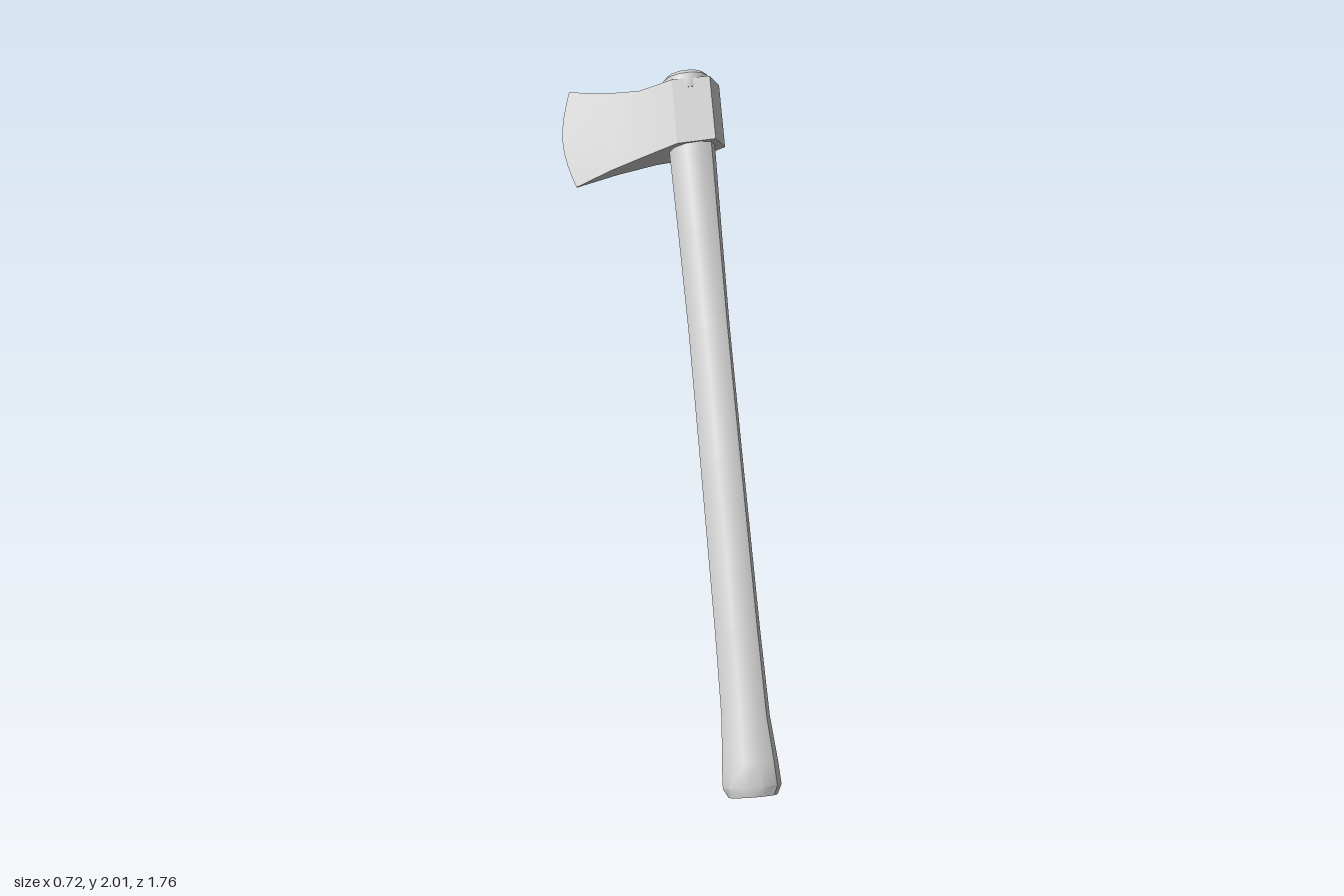
import * as THREE from 'three';
import { toCreasedNormals } from 'three/addons/utils/BufferGeometryUtils.js';

const material = new THREE.MeshStandardMaterial({ color: 0xcccccc });

// Oval loft along y; each row is [y, half depth, half thickness], from the bottom up
function ovalLoft(name, rows, sides, crease) {
  const n = rows.length - 1;
  const geometry = new THREE.CylinderGeometry(1, 1, 1, sides, n);
  const pos = geometry.attributes.position;
  for (let i = 0; i < pos.count; i++) {
    const [y, a, b] = rows[Math.round((pos.getY(i) + 0.5) * n)];
    pos.setXYZ(i, pos.getX(i) * a, y, pos.getZ(i) * b);
  }
  const mesh = new THREE.Mesh(toCreasedNormals(geometry, crease), material);
  mesh.name = name;
  return mesh;
}

// Axe head: stations from poll to cutting edge, [x, half thickness, bottom, top]
function axeHead() {
  const stations = [
    [-0.1, 0.048, -0.105, 0.122],
    [0.025, 0.088, -0.108, 0.122],
    [0.16, 0.052, -0.115, 0.125],
    [0.3, 0.028, -0.13, 0.155],
    [0.447, 0.002, -0.154, 0.203],
  ];
  const rows = 8, last = stations.length - 1, vertices = [];
  const point = (i, j, side) => {
    const [x, half, low, high] = stations[i];
    const t = j / rows;
    // the cutting edge bows outward
    const bow = i === last ? 0.04 * Math.sin(Math.PI * t) : 0;
    return [x + bow, low + (high - low) * t, side * half];
  };
  const quad = (a, b, c, d) => vertices.push(...a, ...b, ...c, ...a, ...c, ...d);

  for (let i = 0; i < last; i++) {
    // cheeks
    for (let j = 0; j < rows; j++) {
      quad(point(i, j, 1), point(i + 1, j, 1), point(i + 1, j + 1, 1), point(i, j + 1, 1));
      quad(point(i, j + 1, -1), point(i + 1, j + 1, -1), point(i + 1, j, -1), point(i, j, -1));
    }
    // top and bottom
    quad(point(i, rows, 1), point(i + 1, rows, 1), point(i + 1, rows, -1), point(i, rows, -1));
    quad(point(i, 0, -1), point(i + 1, 0, -1), point(i + 1, 0, 1), point(i, 0, 1));
  }
  // poll face and thin cutting edge
  for (let j = 0; j < rows; j++) {
    quad(point(0, j, -1), point(0, j, 1), point(0, j + 1, 1), point(0, j + 1, -1));
    quad(point(last, j, 1), point(last, j, -1), point(last, j + 1, -1), point(last, j + 1, 1));
  }
  const geometry = new THREE.BufferGeometry();
  geometry.setAttribute('position', new THREE.Float32BufferAttribute(vertices, 3));
  const mesh = new THREE.Mesh(toCreasedNormals(geometry, 0.3), material);
  mesh.name = 'axeHead';
  mesh.position.z = 0.012;
  return mesh;
}

export function createModel() {
  const axe = new THREE.Group();
  axe.name = 'axe';

  // handle with flared, rounded-off butt
  axe.add(ovalLoft('handle', [
    [-2.275, 0.08, 0.058],
    [-2.245, 0.096, 0.072],
    [-2.17, 0.092, 0.068],
    [-2.03, 0.08, 0.054],
    [-1.75, 0.076, 0.046],
    [-1.2, 0.074, 0.04],
    [-0.75, 0.073, 0.038],
    [-0.4, 0.077, 0.048],
    [-0.14, 0.081, 0.058],
    [0.1, 0.081, 0.06],
  ], 10, 0.7));

  // handle end showing above the head
  axe.add(ovalLoft('handleEnd', [
    [0.09, 0.081, 0.066],
    [0.142, 0.081, 0.066],
    [0.157, 0.066, 0.053],
  ], 12, 0.6));

  axe.add(axeHead());

  // lean the axe: x runs toward the blade, y along the handle
  const up = new THREE.Vector3(0.226, 0.796, -0.562).normalize();
  const blade = new THREE.Vector3(-0.69, -0.278, -0.668);
  blade.addScaledVector(up, -blade.dot(up)).normalize();
  const side = new THREE.Vector3().crossVectors(blade, up);
  axe.quaternion.setFromRotationMatrix(new THREE.Matrix4().makeBasis(blade, up, side));
  axe.position.set(0.226, 1.85, -0.455);

  const model = new THREE.Group();
  model.add(axe);
  return model;
}
